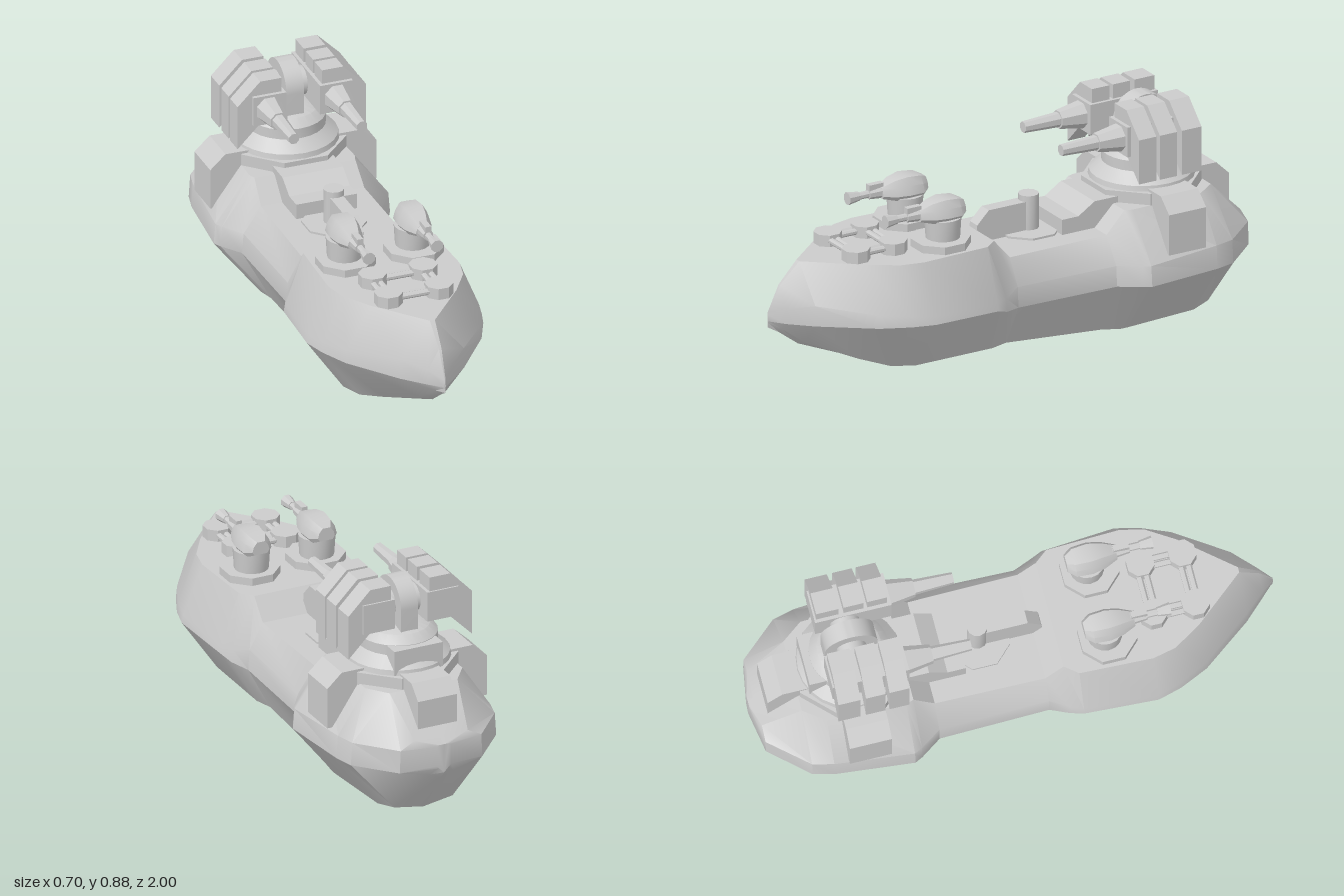
import * as THREE from 'three';
import { toCreasedNormals } from 'three/addons/utils/BufferGeometryUtils.js';

const material = new THREE.MeshStandardMaterial({ color: 0xcccccc, side: THREE.DoubleSide });

export function createModel() {
  const model = new THREE.Group();

  function add(parent, name, geometry, x = 0, y = 0, z = 0) {
    const mesh = new THREE.Mesh(toCreasedNormals(geometry, 0.55), material);
    mesh.name = name;
    mesh.position.set(x, y, z);
    parent.add(mesh);
  }
  function group(parent, name, x = 0, y = 0, z = 0) {
    const g = new THREE.Group();
    g.name = name;
    g.position.set(x, y, z);
    parent.add(g);
    return g;
  }
  // Box given by its limits on each axis
  function box(parent, name, [x0, x1], [y0, y1], [z0, z1]) {
    add(parent, name, new THREE.BoxGeometry(x1 - x0, y1 - y0, z1 - z0),
      (x0 + x1) / 2, (y0 + y1) / 2, (z0 + z1) / 2);
  }
  // Upright prism or cylinder between two heights
  function drum(r, y0, y1, sides, rTop = r) {
    const g = new THREE.CylinderGeometry(rTop, r, y1 - y0, sides);
    if (sides === 8) g.rotateY(Math.PI / 8);
    return g.translate(0, (y0 + y1) / 2, 0);
  }
  // Tapered rod along z
  function rodZ(r0, r1, z0, z1, sides = 8) {
    return drum(r0, z0, z1, sides, r1).rotateX(Math.PI / 2);
  }
  // (x, y) outline extruded between two z values
  function slab(points, z0, z1) {
    const shape = new THREE.Shape(points.map(p => new THREE.Vector2(...p)));
    return new THREE.ExtrudeGeometry(shape, { depth: z1 - z0, bevelEnabled: false }).translate(0, 0, z0);
  }
  // (z, y) outline extruded across x, centred
  function profile(points, width) {
    return slab(points.map(([z, y]) => [-z, y]), -width / 2, width / 2).rotateY(Math.PI / 2);
  }
  // Skin over closed rings of [x, y, z], ordered by rising z
  function loft(rings) {
    const n = rings[0].length, index = [];
    for (let i = 0; i < rings.length - 1; i++) {
      for (let j = 0; j < n; j++) {
        const a = i * n + j, b = i * n + (j + 1) % n;
        index.push(a, b, b + n, a, b + n, a + n);
      }
    }
    const last = (rings.length - 1) * n;
    for (let j = 1; j < n - 1; j++) index.push(0, j + 1, j, last, last + j, last + j + 1);
    const g = new THREE.BufferGeometry();
    g.setAttribute('position', new THREE.Float32BufferAttribute(rings.flat(2), 3));
    g.setIndex(index);
    g.computeVertexNormals();
    return g;
  }

  // Hull stations: z, keel y, bilge half width, side half width, side low y, side high y, deck half width, deck y
  const stations = [
    [-1.0, 0.22, 0.02, 0.03, 0.25, 0.33, 0.02, 0.335],
    [-0.975, 0.19, 0.05, 0.17, 0.24, 0.33, 0.11, 0.36],
    [-0.83, 0.01, 0.12, 0.3, 0.24, 0.33, 0.14, 0.5],
    [-0.75, 0.0, 0.15, 0.32, 0.24, 0.33, 0.2, 0.5],
    [-0.45, 0.0, 0.175, 0.35, 0.24, 0.32, 0.21, 0.5],
    [-0.42, 0.0, 0.175, 0.335, 0.24, 0.32, 0.2, 0.5],
    [-0.34, 0.01, 0.165, 0.28, 0.24, 0.32, 0.205, 0.42],
    [0.08, 0.05, 0.18, 0.27, 0.24, 0.32, 0.21, 0.42],
    [0.15, 0.05, 0.2, 0.305, 0.25, 0.3, 0.21, 0.5],
    [0.2, 0.05, 0.2, 0.327, 0.27, 0.3, 0.25, 0.5],
    [0.48, 0.05, 0.2, 0.345, 0.28, 0.31, 0.26, 0.5],
    [0.57, 0.055, 0.17, 0.32, 0.28, 0.32, 0.24, 0.5],
    [0.68, 0.09, 0.12, 0.27, 0.28, 0.33, 0.17, 0.5],
    [0.87, 0.17, 0.05, 0.127, 0.28, 0.36, 0.01, 0.5],
    [0.95, 0.23, 0.02, 0.05, 0.28, 0.34, 0.005, 0.42],
    [1.0, 0.26, 0.001, 0.002, 0.285, 0.31, 0.001, 0.32],
  ];
  add(model, 'hull', loft(stations.map(([z, keel, bilge, side, low, high, deck, top]) => {
    const half = [[bilge, keel + 0.02, z], [side, low, z], [side * 0.98, high, z], [deck, top, z]];
    const mirrored = half.map(([x, y]) => [-x, y, z]).reverse();
    return [[0, keel, z], ...half, [0, top, z], ...mirrored];
  })));

  // Four octagonal hatches on the bow joined by paired pipes
  const hatches = group(model, 'bowHatches');
  for (const z of [0.52, 0.68]) {
    for (const s of [-1, 1]) add(hatches, 'hatch', drum(0.054, 0.5, 0.545, 8), s * 0.1, 0, z);
    for (const dz of [-0.014, 0.014]) {
      add(hatches, 'crossPipe', rodZ(0.012, 0.012, -0.06, 0.06).rotateY(Math.PI / 2), 0, 0.523, z + dz);
    }
  }
  for (const s of [-1, 1]) {
    for (const dx of [-0.014, 0.014]) {
      add(hatches, 'longPipe', rodZ(0.012, 0.012, 0.56, 0.64), s * 0.1 + dx, 0.523, 0);
    }
  }

  // Two small forward turrets with teardrop heads
  const headSections = [ // z, half width at foot, half width at top, foot y, top y
    [-0.09, 0.035, 0.02, 0.615, 0.665], [-0.06, 0.058, 0.04, 0.6, 0.68], [0.0, 0.062, 0.045, 0.6, 0.686],
    [0.05, 0.052, 0.035, 0.603, 0.678], [0.1, 0.03, 0.02, 0.615, 0.657],
  ];
  for (const s of [-1, 1]) {
    const turret = group(model, 'smallTurret', s * 0.135, 0, 0.335);
    add(turret, 'basePlate', drum(0.113, 0.495, 0.53, 8));
    add(turret, 'pedestal', drum(0.065, 0.53, 0.61, 16, 0.07), 0, 0, -0.01);
    add(turret, 'head', loft(headSections.map(([z, w, t, y0, y1]) => {
      const h = y1 - y0;
      return [[-w * 0.75, y0, z], [w * 0.75, y0, z], [w, y0 + h * 0.25, z], [w * 0.85, y0 + h * 0.65, z],
        [t * 0.8, y1, z], [-t * 0.8, y1, z], [-w * 0.85, y0 + h * 0.65, z], [-w, y0 + h * 0.25, z]];
    })));
    add(turret, 'gunSleeve', rodZ(0.028, 0.02, 0.07, 0.15), 0, 0.638, 0);
    add(turret, 'gunBarrel', rodZ(0.014, 0.014, 0.14, 0.2), 0, 0.638, 0);
    add(turret, 'gunMuzzle', rodZ(0.017, 0.025, 0.19, 0.24), 0, 0.638, 0);
    box(turret, 'gunSight', [-0.012, 0.012], [0.645, 0.675], [0.09, 0.15]);
  }

  // Post and arm on the low middle deck
  const crane = group(model, 'crane');
  add(crane, 'craneBase', drum(0.122, 0.41, 0.428, 8), 0, 0, -0.125);
  add(crane, 'post', drum(0.039, 0.42, 0.563, 12), 0, 0, -0.127);
  add(crane, 'arm', profile([[-0.11, 0.42], [0.12, 0.42], [0.11, 0.49], [0.06, 0.54], [-0.11, 0.54]], 0.052));

  // Stepped block ahead of the main turret
  add(model, 'forwardStep', profile(
    [[-0.2, 0.41], [-0.2, 0.48], [-0.27, 0.48], [-0.34, 0.525], [-0.45, 0.525], [-0.45, 0.41]], 0.24));

  // Armour lockers on both sides and at the stern
  const lockerOutline = [[0.15, 0.34], [0.33, 0.34], [0.33, 0.5], [0.27, 0.555], [0.15, 0.555]];
  for (const turn of [0, Math.PI]) {
    add(model, 'sideLocker', slab(lockerOutline, -0.08, 0.08).rotateY(turn), 0, 0, -0.615);
  }
  add(model, 'sternLocker', profile(
    [[-0.75, 0.37], [-0.75, 0.553], [-0.89, 0.553], [-0.945, 0.5], [-0.945, 0.37]], 0.16));

  // Main turret: collar, round base and central arch
  const main = group(model, 'mainTurret', 0, 0, -0.615);
  add(main, 'collar', drum(0.225, 0.495, 0.545, 8));
  add(main, 'turretBase', new THREE.LatheGeometry([
    [0.2, 0.54], [0.195, 0.565], [0.15, 0.605], [0.15, 0.645], [0.12, 0.675], [0.06, 0.69], [0, 0.69],
  ].map(p => new THREE.Vector2(...p)), 24));
  add(main, 'rearRim', profile([[-0.175, 0.54], [-0.175, 0.643], [-0.105, 0.643], [-0.105, 0.54]], 0.2));
  const arch = new THREE.Shape();
  arch.moveTo(-0.1, 0.62);
  arch.lineTo(0.1, 0.62);
  arch.lineTo(0.1, 0.765);
  arch.absarc(0, 0.765, 0.1, 0, Math.PI);
  add(main, 'arch', new THREE.ExtrudeGeometry(arch, { depth: 0.07, bevelEnabled: false, curveSegments: 16 })
    .translate(0, 0, -0.035).rotateY(Math.PI / 2));
  add(main, 'axle', rodZ(0.056, 0.056, -0.1, 0.1, 20).rotateY(Math.PI / 2), 0, 0.765, 0);

  // Gun housings: a core wrapped by three armour slabs, with a stepped barrel
  const plate = [[0.08, 0.705], [0.165, 0.705], [0.255, 0.615], [0.255, 0.79], [0.165, 0.88], [0.08, 0.88]];
  for (const s of [-1, 1]) {
    const gun = group(main, 'mainGun');
    const [xa, xb] = s > 0 ? [0.067, 0.197] : [-0.197, -0.067];
    box(gun, 'gunCore', [xa, xb], [0.706, 0.824], [-0.112, 0.18]);
    for (const [z0, z1] of [[0.09, 0.165], [0, 0.075], [-0.105, -0.02]]) {
      add(gun, 'armourSlab', slab(plate.map(([x, y]) => [s * x, y]), z0, z1));
    }
    add(gun, 'barrelSleeve', rodZ(0.053, 0.036, 0.18, 0.28), s * 0.135, 0.765, 0);
    add(gun, 'barrel', rodZ(0.029, 0.022, 0.28, 0.43), s * 0.135, 0.765, 0);
  }
  return model;
}
